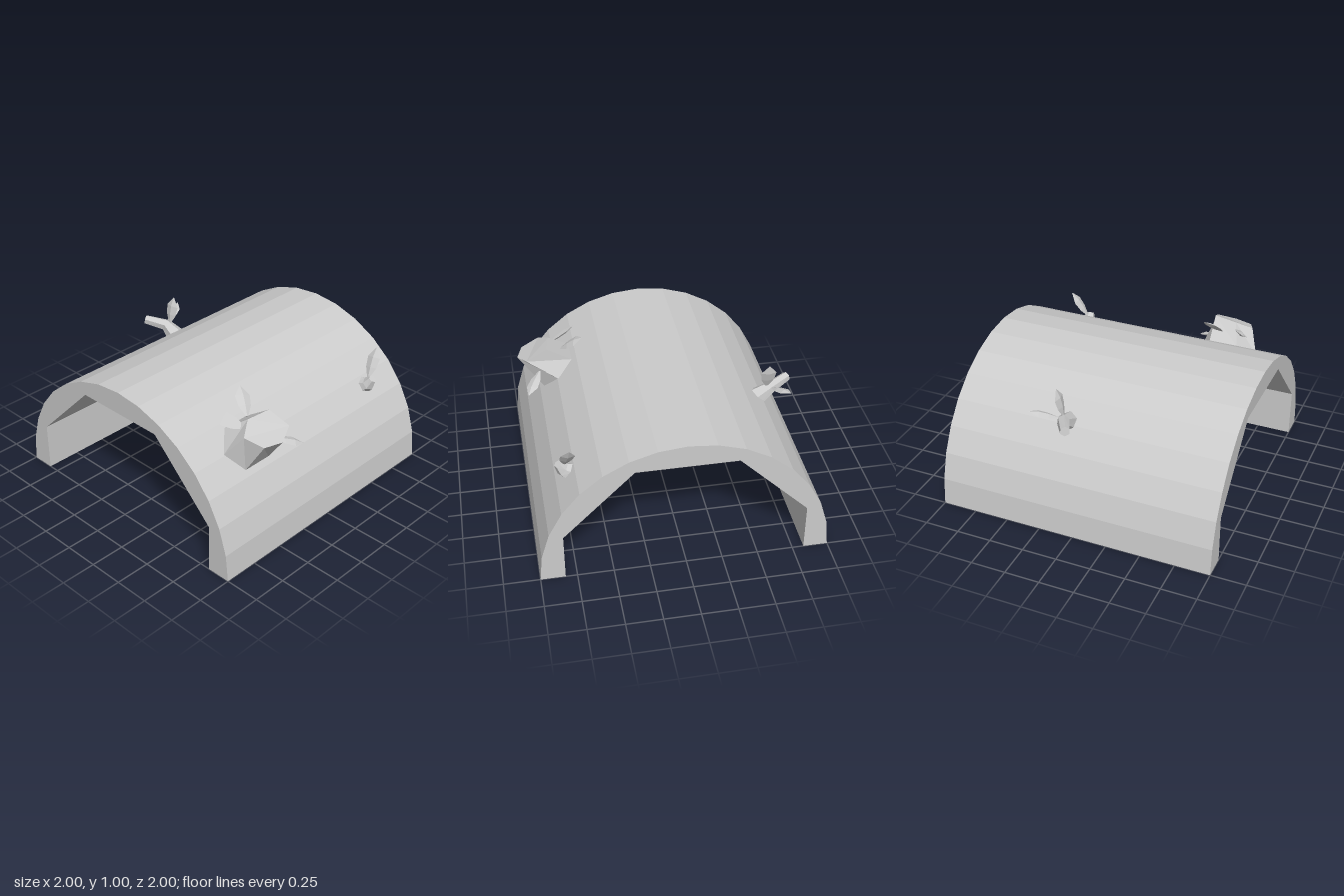
import * as THREE from 'three';

const material = new THREE.MeshStandardMaterial({ color: 0xcccccc, flatShading: true, side: THREE.DoubleSide });
const V = (p) => new THREE.Vector3(...p);

// Closed faceted solid lofted through rings holding equal numbers of points
function loft(name, rings) {
  const n = rings[0].length, index = [];
  for (let r = 0; r < rings.length - 1; r++) {
    for (let i = 0; i < n; i++) {
      const a = r * n + i, b = r * n + (i + 1) % n;
      index.push(a, b, a + n, b, b + n, a + n);
    }
  }
  const end = (rings.length - 1) * n;
  for (let i = 1; i < n - 1; i++) {
    index.push(0, i + 1, i, end, end + i, end + i + 1);
  }
  const geometry = new THREE.BufferGeometry().setFromPoints(rings.flat());
  geometry.setIndex(index);
  const flat = geometry.toNonIndexed();
  flat.computeVertexNormals();
  const mesh = new THREE.Mesh(flat, material);
  mesh.name = name;
  return mesh;
}

// Six-sided twig through a few points with a radius at each
function twig(name, points, radii) {
  const p = points.map(V);
  const rings = p.map((c, k) => {
    const dir = p[Math.min(k + 1, p.length - 1)].clone().sub(p[Math.max(k - 1, 0)]).normalize();
    const u = new THREE.Vector3(0, 0, 1).cross(dir).normalize();
    const v = dir.clone().cross(u);
    return Array.from({ length: 6 }, (_, i) => {
      const a = i * Math.PI / 3;
      return c.clone().addScaledVector(u, radii[k] * Math.cos(a)).addScaledVector(v, radii[k] * Math.sin(a));
    });
  });
  return loft(name, rings);
}

// Thin pointed leaf: diamond cross-sections from stem to tip
function leaf(name, from, to, width, faceNormal) {
  const a = V(from), b = V(to), dir = b.clone().sub(a).normalize();
  const side = V(faceNormal).cross(dir).normalize();
  const up = dir.clone().cross(side);
  const rings = [[0, 0.15], [0.35, 0.85], [0.68, 1], [1, 0.06]].map(([t, s]) => {
    const c = a.clone().lerp(b, t), w = width / 2 * s, h = 0.015 * s;
    return [[w, 0], [0, h], [-w, 0], [0, -h]].map(([x, y]) =>
      c.clone().addScaledVector(side, x).addScaledVector(up, y));
  });
  return loft(name, rings);
}

export function createModel() {
  const group = new THREE.Group();
  group.name = 'hollowLog';

  // Half log: sixteen-sided outer arch, chamfered hollow inside
  const arch = new THREE.Shape();
  arch.moveTo(1, 0);
  for (let i = 1; i <= 16; i++) {
    const a = i * Math.PI / 16;
    arch.lineTo(Math.cos(a), Math.sin(a));
  }
  [[-0.83, 0], [-0.83, 0.35], [-0.345, 0.835], [0.345, 0.835], [0.83, 0.35], [0.83, 0]]
    .forEach(([x, y]) => arch.lineTo(x, y));
  arch.closePath();
  const logGeometry = new THREE.ExtrudeGeometry(arch, { depth: 2, bevelEnabled: false });
  logGeometry.translate(0, 0, -1);
  const log = new THREE.Mesh(logGeometry, material);
  log.name = 'logArch';
  group.add(log);

  // Thick cut-off branch with an uneven six-sided end
  const base = [[0.8, 0.59, 0.41], [0.8, 0.59, 0.63], [0.7, 0.71, 0.73],
    [0.59, 0.81, 0.61], [0.59, 0.81, 0.4], [0.7, 0.71, 0.31]].map(V);
  const cap = [[0.98, 0.82, 0.48], [0.94, 0.82, 0.61], [0.81, 0.86, 0.66],
    [0.74, 0.92, 0.55], [0.77, 0.93, 0.38], [0.92, 0.86, 0.35]].map(V);
  const stump = new THREE.Group();
  stump.name = 'branchStump';
  stump.add(
    loft('stump', [base.reverse(), cap.reverse()]),
    leaf('stumpLeafBack', [0.66, 0.87, 0.47], [0.51, 1.0, 0.38], 0.11, [0.5, 0.85, 0]),
    leaf('stumpLeafFront', [0.74, 0.86, 0.57], [0.54, 0.93, 0.67], 0.1, [0.3, 0.8, 0.4]),
    leaf('stumpLeafSide', [0.83, 0.74, 0.39], [0.93, 0.66, 0.21], 0.09, [0.3, 0.9, -0.2]),
  );
  group.add(stump);

  // Bent twig on the right flank
  const bent = new THREE.Group();
  bent.name = 'bentTwig';
  bent.add(
    twig('twig', [[-0.66, 0.7, -0.16], [-0.77, 0.77, -0.15], [-0.91, 0.795, -0.07]], [0.075, 0.045, 0.035]),
    leaf('twigLeafUpright', [-0.74, 0.79, -0.16], [-0.74, 0.99, -0.21], 0.11, [0, 0.2, 1]),
    leaf('twigLeafBack', [-0.77, 0.79, -0.18], [-0.86, 0.85, -0.36], 0.08, [0, 1, 0]),
  );
  group.add(bent);

  // Short sprout near the back of the left flank
  const sprout = new THREE.Group();
  sprout.name = 'sprout';
  sprout.add(
    twig('sproutStem', [[0.73, 0.64, -0.675], [0.78, 0.67, -0.675], [0.81, 0.72, -0.68]], [0.065, 0.05, 0.03]),
    leaf('sproutLeaf', [0.77, 0.71, -0.68], [0.74, 0.9, -0.8], 0.1, [0, 0.5, 0.85]),
  );
  group.add(sprout);

  return group;
}
